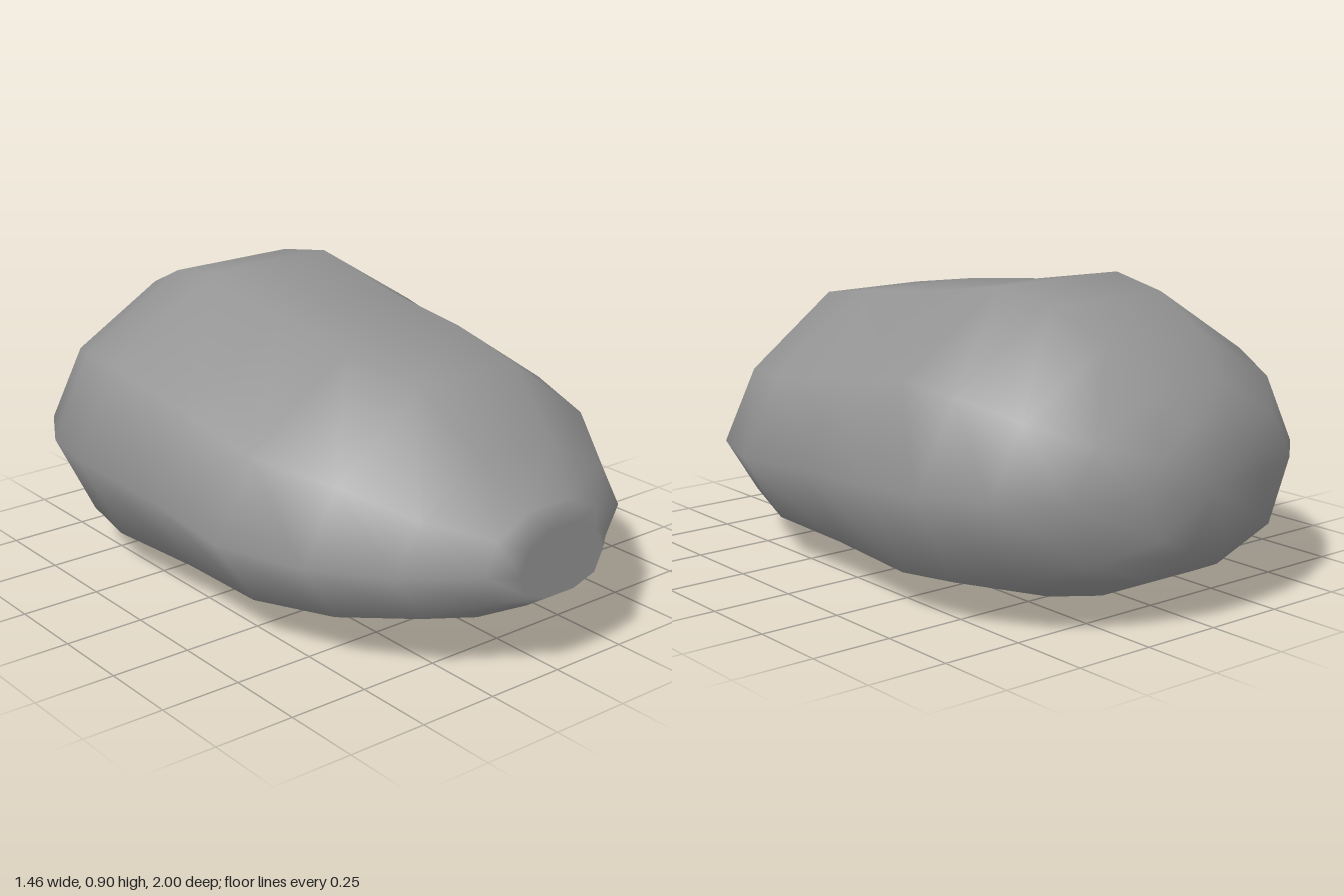
import * as THREE from 'three';

const SIDES = 10;

// Cross-sections from back to front: z, half width, top y, widest y, bottom y, shoulder height ratio
const SECTIONS = [
  [-0.97, 0.226, 0.575, 0.4, 0.225, 0.55],
  [-0.88, 0.43, 0.662, 0.4, 0.13, 0.55],
  [-0.74, 0.59, 0.785, 0.4, 0.065, 0.55],
  [-0.55, 0.695, 0.87, 0.4, 0.02, 0.55],
  [-0.35, 0.73, 0.905, 0.4, 0, 0.545],
  [0, 0.695, 0.845, 0.37, 0.018, 0.52],
  [0.32, 0.695, 0.81, 0.34, 0.04, 0.5],
  [0.59, 0.59, 0.77, 0.33, 0.077, 0.5],
  [0.805, 0.43, 0.605, 0.33, 0.13, 0.54],
  [0.94, 0.235, 0.485, 0.33, 0.2, 0.6],
  [1, 0.16, 0.44, 0.33, 0.24, 0.62],
];

// One ten-sided ring, with sloping shoulders and a fuller belly
function ring([z, w, top, mid, bottom, shoulderRatio]) {
  const points = [];
  for (let j = 0; j < SIDES; j++) {
    const a = (j / SIDES) * Math.PI * 2;
    const s = Math.sin(a);
    const sloping = Math.abs(s) < 0.7;
    let rise = 0;
    if (s > 0.01) rise = (top - mid) * (sloping ? shoulderRatio : 1);
    if (s < -0.01) rise = (bottom - mid) * (sloping ? 0.7 : 1);
    points.push(w * Math.cos(a), mid + rise, z);
  }
  return points;
}

export function createModel() {
  const group = new THREE.Group();
  group.name = 'smoothPebble';

  // Rings, then the back point and the middle of the flat front tip
  const positions = SECTIONS.flatMap(ring);
  const back = SECTIONS.length * SIDES;
  const front = back + 1;
  const lastRing = back - SIDES;
  positions.push(0, 0.4, -1, 0, 0.33, 1);

  const index = [];
  for (let j = 0; j < SIDES; j++) {
    const k = (j + 1) % SIDES;
    index.push(back, k, j, front, lastRing + j, lastRing + k);
    for (let i = 0; i < lastRing; i += SIDES) {
      const a = i + j, b = i + k;
      index.push(a, b, b + SIDES, a, b + SIDES, a + SIDES);
    }
  }

  const geometry = new THREE.BufferGeometry();
  geometry.setAttribute('position', new THREE.Float32BufferAttribute(positions, 3));
  geometry.setIndex(index);
  geometry.computeVertexNormals();

  // The tip is shaded flat and blends softly into the body around it
  for (let j = 0; j < SIDES; j++) geometry.attributes.normal.setXYZ(lastRing + j, 0, 0, 1);

  const body = new THREE.Mesh(geometry, new THREE.MeshStandardMaterial({ color: 0x949494 }));
  body.name = 'body';
  group.add(body);
  return group;
}
